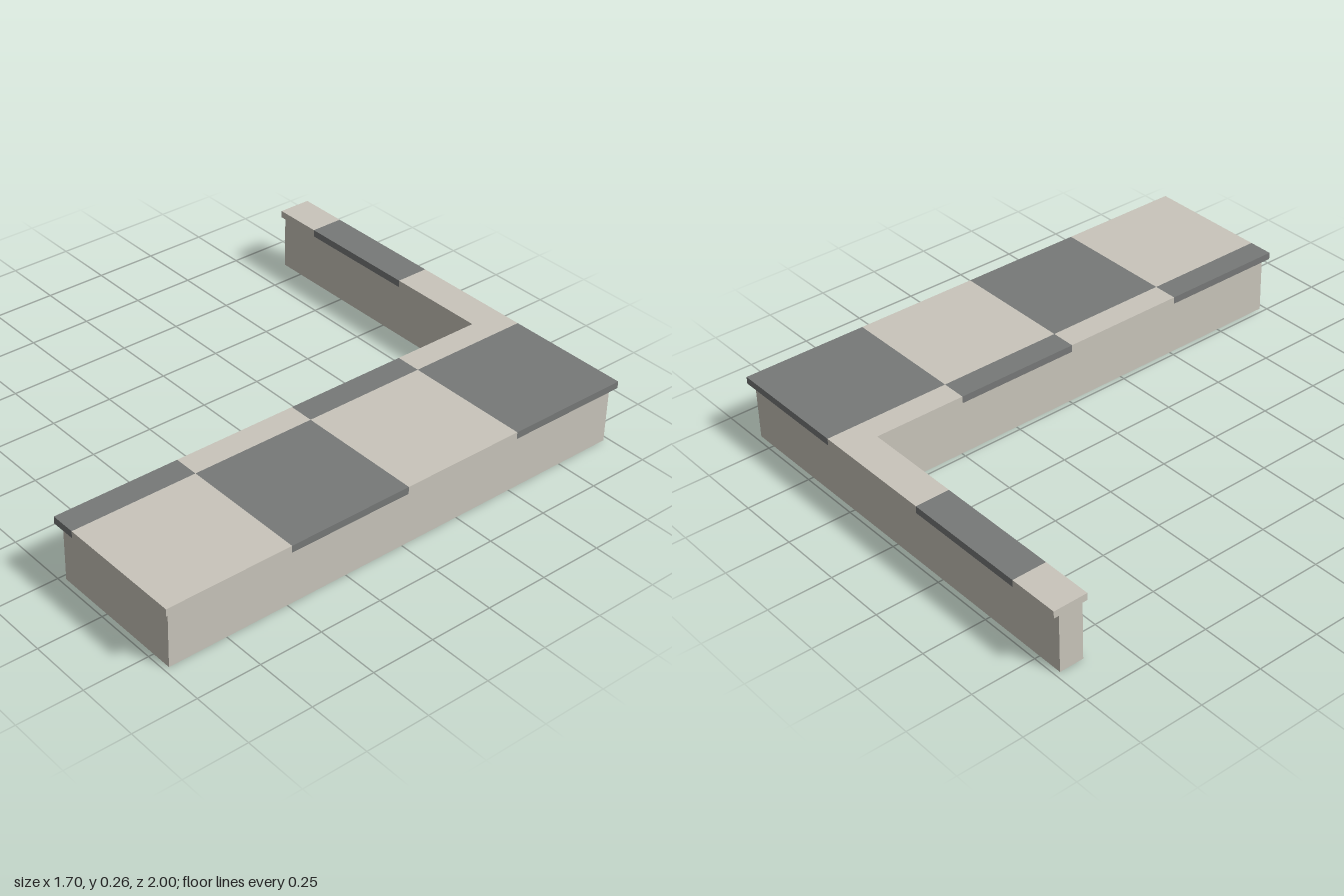
import * as THREE from 'three';

export function createModel() {
  const group = new THREE.Group();
  group.name = 'cornerCounter';
  const light = new THREE.MeshStandardMaterial({ color: 0xc9c5bb });
  light.name = 'light stone';
  const dark = new THREE.MeshStandardMaterial({ color: 0x777978 });
  dark.name = 'dark stone';

  const BASE = 0.228, TOP = 0.256, TILE = 0.5;

  // L-shaped base wall, drawn in plan (x, -z) and extruded upward
  const plan = [[-0.85, -0.98], [0.83, -0.98], [0.83, 0.98], [0.27, 0.98], [0.27, -0.885], [-0.85, -0.885]];
  const shape = new THREE.Shape(plan.map(([x, z]) => new THREE.Vector2(x, -z)));
  const baseGeometry = new THREE.ExtrudeGeometry(shape, { depth: BASE, bevelEnabled: false });
  baseGeometry.rotateX(-Math.PI / 2);
  const base = new THREE.Mesh(baseGeometry, light);
  base.name = 'baseWall';
  group.add(base);

  // One slab of the overhanging top
  function slab(name, x0, x1, z0, z1, material) {
    const mesh = new THREE.Mesh(new THREE.BoxGeometry(x1 - x0, TOP - BASE, z1 - z0), material);
    mesh.position.set((x0 + x1) / 2, (BASE + TOP) / 2, (z0 + z1) / 2);
    mesh.name = name;
    group.add(mesh);
  }

  // Long run: wide tiles with an alternating narrow edge strip
  for (let i = 0; i < 4; i++) {
    const z0 = -1 + i * TILE;
    slab('topTile', 0.35, 0.85, z0, z0 + TILE, i % 2 ? light : dark);
    slab('topEdgeTile', 0.25, 0.35, z0, z0 + TILE, i % 2 ? dark : light);
  }

  // Narrow back run
  const cuts = [-0.85, -0.65, -0.15, 0.25];
  for (let i = 0; i < 3; i++) {
    slab('backTopTile', cuts[i], cuts[i + 1], -1, -0.865, i === 1 ? dark : light);
  }
  return group;
}
